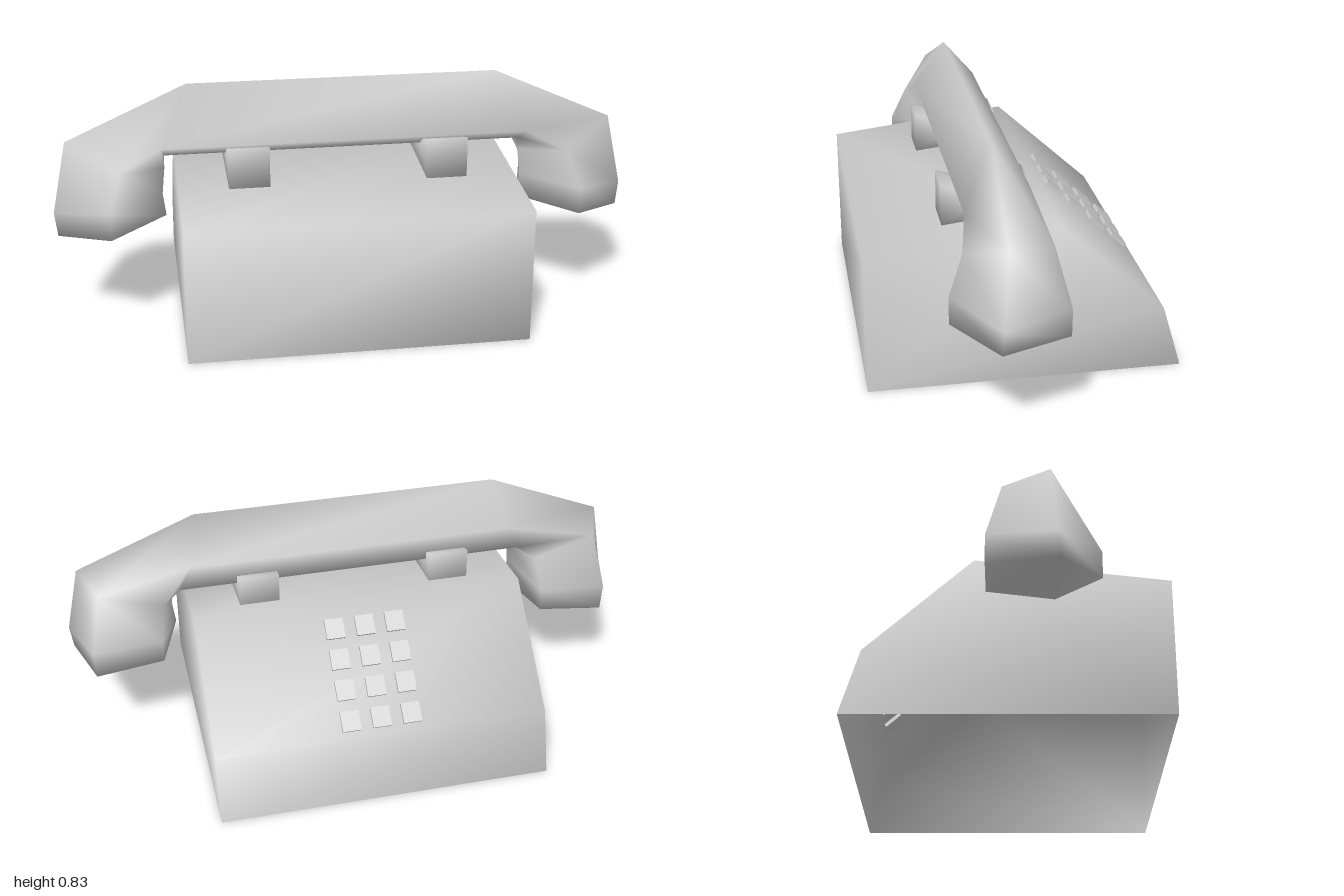
import * as THREE from 'three';

const material = new THREE.MeshStandardMaterial({ color: 0xcccccc, side: THREE.DoubleSide });

// Smooth skin over cross-sections listed from -x to +x, with both ends capped.
// Each section runs front, top, back; an open section leaves its last gap unfilled.
function loft(name, sections, closed = true) {
  const n = sections[0].length, last = (sections.length - 1) * n;
  const index = [];
  for (let s = 0; s < sections.length - 1; s++) {
    for (let j = 0; j < (closed ? n : n - 1); j++) {
      const a = s * n + j, b = s * n + (j + 1) % n;
      index.push(a, a + n, b + n, a, b + n, b);
    }
  }
  for (let j = 1; j < n - 1; j++) {
    index.push(0, j, j + 1, last, last + j + 1, last + j);
  }
  const geometry = new THREE.BufferGeometry();
  geometry.setAttribute('position', new THREE.Float32BufferAttribute(sections.flat(2), 3));
  geometry.setIndex(index);
  geometry.computeVertexNormals();
  const mesh = new THREE.Mesh(geometry, material);
  mesh.name = name;
  return mesh;
}

// Straight prism between two x positions from a [z, y] profile.
function prism(name, x0, x1, profile, closed) {
  return loft(name, [x0, x1].map(x => profile.map(([z, y]) => [x, y, z])), closed);
}

export function createModel() {
  const model = new THREE.Group();
  model.name = 'telephone';

  // Wedge-shaped housing, open underneath
  const peak = [-0.11, 0.545], foot = [-0.465, 0.22];
  model.add(prism('body', -0.58, 0.58,
    [[0.53, 0], [0.53, 0.47], peak, foot, [-0.53, 0]], false));

  // Two notched blocks that hold the handset
  const notched = [[0.11, 0.6], [-0.035, 0.643], [-0.035, 0.5], [0.255, 0.5], [0.255, 0.643]];
  for (const side of [-1, 1]) {
    model.add(prism(side < 0 ? 'rightCradle' : 'leftCradle',
      side * 0.34 - 0.07, side * 0.34 + 0.07, notched, true));
  }

  // Handset: five-sided sections from grip to ear end (top, back, under back, under, front)
  const half = [
    [[0.535, 0.835, 0.11], [0.57, 0.695, -0.005], [0.61, 0.60, 0.01], [0.62, 0.59, 0.13], [0.63, 0.64, 0.213]],
    [[0.95, 0.655, 0.13], [0.89, 0.63, -0.02], [0.67, 0.57, -0.03], [0.62, 0.55, 0.14], [0.77, 0.57, 0.24]],
    [[1.0, 0.41, 0.15], [0.93, 0.435, -0.07], [0.69, 0.45, -0.07], [0.63, 0.46, 0.15], [0.81, 0.445, 0.29]],
    [[0.99, 0.328, 0.155], [0.925, 0.34, -0.07], [0.69, 0.37, -0.07], [0.62, 0.38, 0.15], [0.81, 0.353, 0.29]],
  ];
  const mirrored = half.map(ring => ring.map(([x, y, z]) => [-x, y, z])).reverse();
  model.add(loft('handset', [...mirrored, ...half]));

  // Keypad of 3 x 4 square keys lying on the sloped panel
  const keypad = new THREE.Group();
  keypad.name = 'keypad';
  const slope = (peak[1] - foot[1]) / (peak[0] - foot[0]);
  const keyShape = new THREE.BoxGeometry(0.065, 0.024, 0.07);
  for (let row = 0; row < 4; row++) {
    for (let column = -1; column <= 1; column++) {
      const key = new THREE.Mesh(keyShape, material);
      const z = -0.178 - row * 0.08;
      key.name = 'key';
      key.position.set(column * 0.107, peak[1] + slope * (z - peak[0]), z);
      key.rotation.x = -Math.atan(slope);
      keypad.add(key);
    }
  }
  model.add(keypad);

  return model;
}
